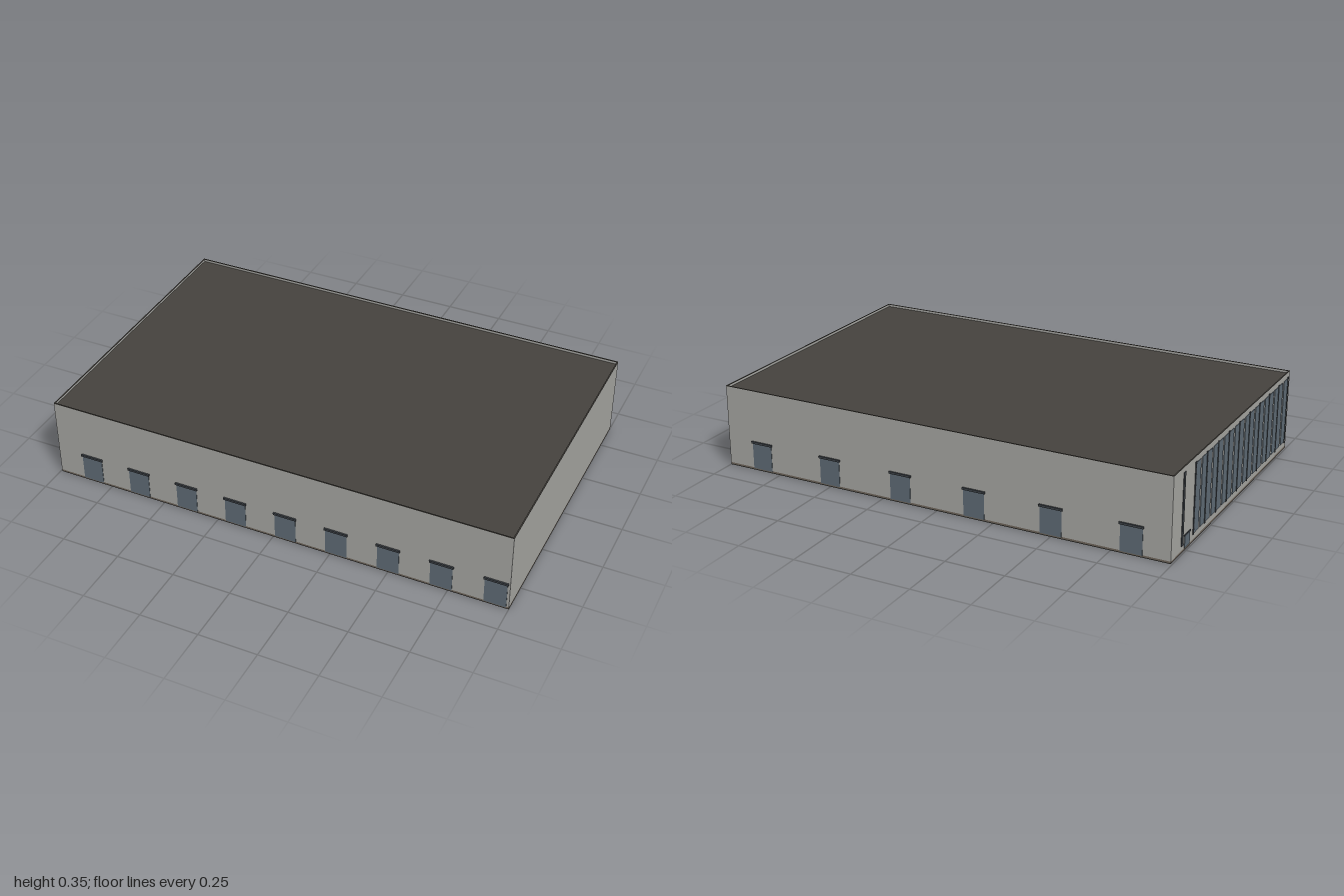
import * as THREE from 'three';

const mat = (color) => new THREE.MeshStandardMaterial({ color });

export function createModel() {
  const model = new THREE.Group();
  const wall = mat(0xa3a39f), dark = mat(0x45423d), brown = mat(0x6f665c);
  const glass = mat(0x5d6973), trim = mat(0x3b4045);
  const W = 1.994, H = 0.352, Z = 0.632, CX = 0.003;

  // Box given by its size and centre
  const box = (name, material, size, pos, parent = model) => {
    const mesh = new THREE.Mesh(new THREE.BoxGeometry(...size), material);
    mesh.name = name;
    mesh.position.set(...pos);
    parent.add(mesh);
    return mesh;
  };

  // Base, hall and sunken flat roof
  const roofY = H - 0.014, bodyH = roofY - 0.01;
  box('baseSlab', dark, [W, 0.004, 2 * Z], [CX, 0.002, 0]);
  box('plinth', brown, [W, 0.006, 2 * Z], [CX, 0.007, 0]);
  box('hallWalls', wall, [W, bodyH, 2 * Z], [CX, 0.01 + bodyH / 2, 0]);
  box('roof', dark, [W - 0.01, 0.003, 2 * Z - 0.01], [CX, roofY + 0.0015, 0]);

  // Parapet with a dark coping
  const t = 0.005, ph = H - roofY - 0.002;
  for (const s of [-1, 1]) {
    const z = s * (Z - t / 2), x = CX + s * (W - t) / 2;
    box('parapetLong', wall, [W, ph, t], [CX, roofY + ph / 2, z]);
    box('copingLong', dark, [W, 0.002, t], [CX, H - 0.001, z]);
    box('parapetShort', wall, [t, ph, 2 * Z - 2 * t], [x, roofY + ph / 2, 0]);
    box('copingShort', dark, [t, 0.002, 2 * Z - 2 * t], [x, H - 0.001, 0]);
  }

  // Loading doors, each with a small canopy
  const addDoors = (name, count, first, step, side) => {
    for (let i = 0; i < count; i++) {
      const door = new THREE.Group();
      door.name = name;
      box('doorPanel', glass, [0.092, 0.112, 0.004], [0, 0.064, 0], door);
      box('canopy', trim, [0.1, 0.009, 0.007], [0, 0.1235, 0.0035], door);
      door.position.set(first + i * step, 0, side * Z);
      if (side < 0) door.rotation.y = Math.PI;
      model.add(door);
    }
  };
  addDoors('frontDoor', 9, -0.834, 0.2222, 1);
  addDoors('backDoor', 6, -0.834, 0.3335, -1);

  // Glazed left-hand... gable facing -x: tall panes between narrow mullions
  const xw = CX - W / 2, z0 = -0.42, z1 = 0.61, panes = 18;
  const pitch = (z1 - z0) / panes;
  for (let i = 0; i < panes; i++)
    box('gablePane', glass, [0.003, 0.29, pitch * 0.76], [xw - 0.0005, 0.18, z0 + (i + 0.5) * pitch]);
  for (let i = 0; i <= panes; i += 2)
    box('gableMullion', trim, [0.005, 0.3, 0.008], [xw - 0.0005, 0.18, z0 + i * pitch]);
  box('cornerMullion', trim, [0.005, 0.3, 0.016], [xw - 0.0005, 0.18, -0.53]);

  // Small entrance beside the glazing
  box('entranceDoor', glass, [0.004, 0.05, 0.05], [xw, 0.035, -0.48]);
  box('entranceCanopy', trim, [0.006, 0.007, 0.06], [xw, 0.0635, -0.48]);

  return model;
}
